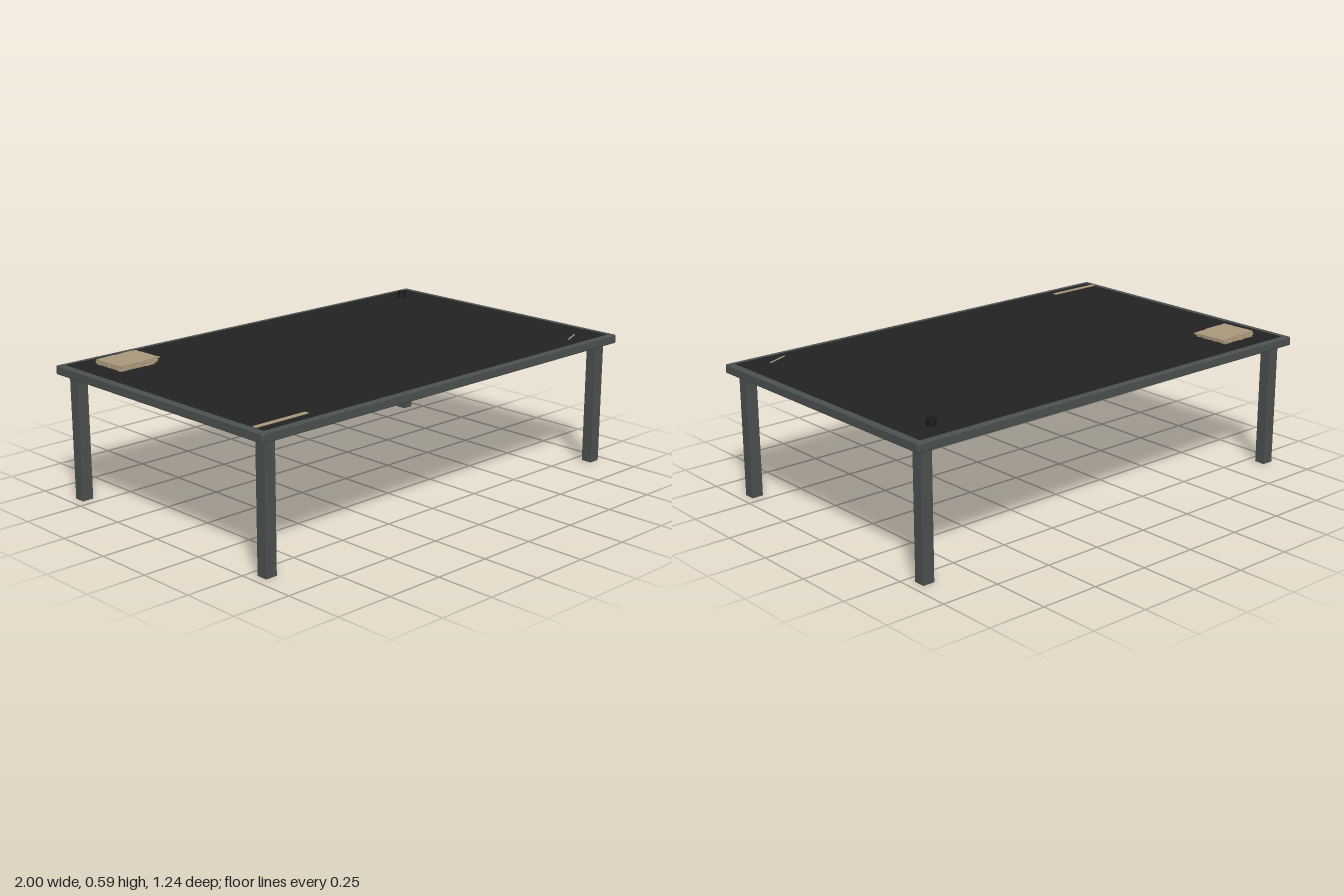
import * as THREE from 'three';
import { RoundedBoxGeometry } from 'three/addons/geometries/RoundedBoxGeometry.js';

const mat = (name, color) => {
  const m = new THREE.MeshStandardMaterial({ color });
  m.name = name;
  return m;
};

export function createModel() {
  const frame = mat('slate grey', 0x4a504f);
  const black = mat('matte black', 0x222222);
  const ink = mat('ink black', 0x171818);
  const tan = mat('parchment tan', 0xa8967a);

  const group = new THREE.Group();
  group.name = 'desk';
  const add = (name, geometry, material, x, y, z) => {
    const mesh = new THREE.Mesh(geometry, material);
    mesh.name = name;
    mesh.position.set(x, y, z);
    group.add(mesh);
    return mesh;
  };

  // Table top with softened edges and an inset writing surface
  const top = 0.564;
  add('tableTop', new RoundedBoxGeometry(2, 0.037, 1.244, 2, 0.005), frame, 0, 0.5445, 0);
  add('writingSurface', new THREE.BoxGeometry(1.94, 0.003, 1.19), black, 0, top - 0.0015, 0);

  // Four square legs
  for (const sx of [-1, 1]) {
    for (const sz of [-1, 1]) {
      add('leg', new THREE.BoxGeometry(0.05, 0.53, 0.048), frame, sx * 0.935, 0.265, sz * 0.562);
    }
  }

  // Stack of parchment sheets with ragged edges
  let seed = 7;
  const random = () => (seed = (seed * 16807) % 2147483647) / 2147483647;
  const raggedSheet = (w, d, thickness) => {
    const corners = [[-w, -d], [w, -d], [w, d], [-w, d]];
    const points = [];
    corners.forEach(([x, z], i) => {
      const [nx, nz] = corners[(i + 1) % 4];
      for (let k = 0; k < 10; k++) {
        const t = k / 10;
        points.push(new THREE.Vector2(
          (x + (nx - x) * t) / 2 + (random() - 0.5) * 0.007,
          (z + (nz - z) * t) / 2 + (random() - 0.5) * 0.007));
      }
    });
    const g = new THREE.ExtrudeGeometry(new THREE.Shape(points), { depth: thickness, bevelEnabled: false });
    return g.rotateX(-Math.PI / 2);
  };
  for (let i = 0; i < 4; i++) {
    const sheet = add('parchmentSheet', raggedSheet(0.17 + i * 0.01, 0.155, 0.0045), tan,
      -0.79 + i * 0.003, top + i * 0.0063, -0.439);
    sheet.rotation.y = 0.01 + i * 0.012;
  }

  // Ruler
  add('ruler', new THREE.BoxGeometry(0.25, 0.003, 0.02), tan, -0.845, top + 0.0015, 0.546);

  // Ink pot
  add('inkPot', new THREE.CylinderGeometry(0.018, 0.019, 0.028, 16), ink, 0.843, top + 0.014, -0.5);

  // Slim pen with a dark nib, lying at an angle
  const pen = new THREE.Group();
  pen.name = 'pen';
  pen.position.set(0.81, top + 0.003, 0.529);
  pen.rotation.y = Math.atan2(0.042, 0.1);
  const shaft = new THREE.Mesh(new THREE.CylinderGeometry(0.003, 0.003, 0.1, 8).rotateZ(Math.PI / 2), tan);
  shaft.name = 'penShaft';
  shaft.position.x = 0.003;
  const nib = new THREE.Mesh(new THREE.ConeGeometry(0.003, 0.01, 8).rotateZ(Math.PI / 2), ink);
  nib.name = 'penNib';
  nib.position.x = -0.052;
  pen.add(shaft, nib);
  group.add(pen);

  return group;
}
